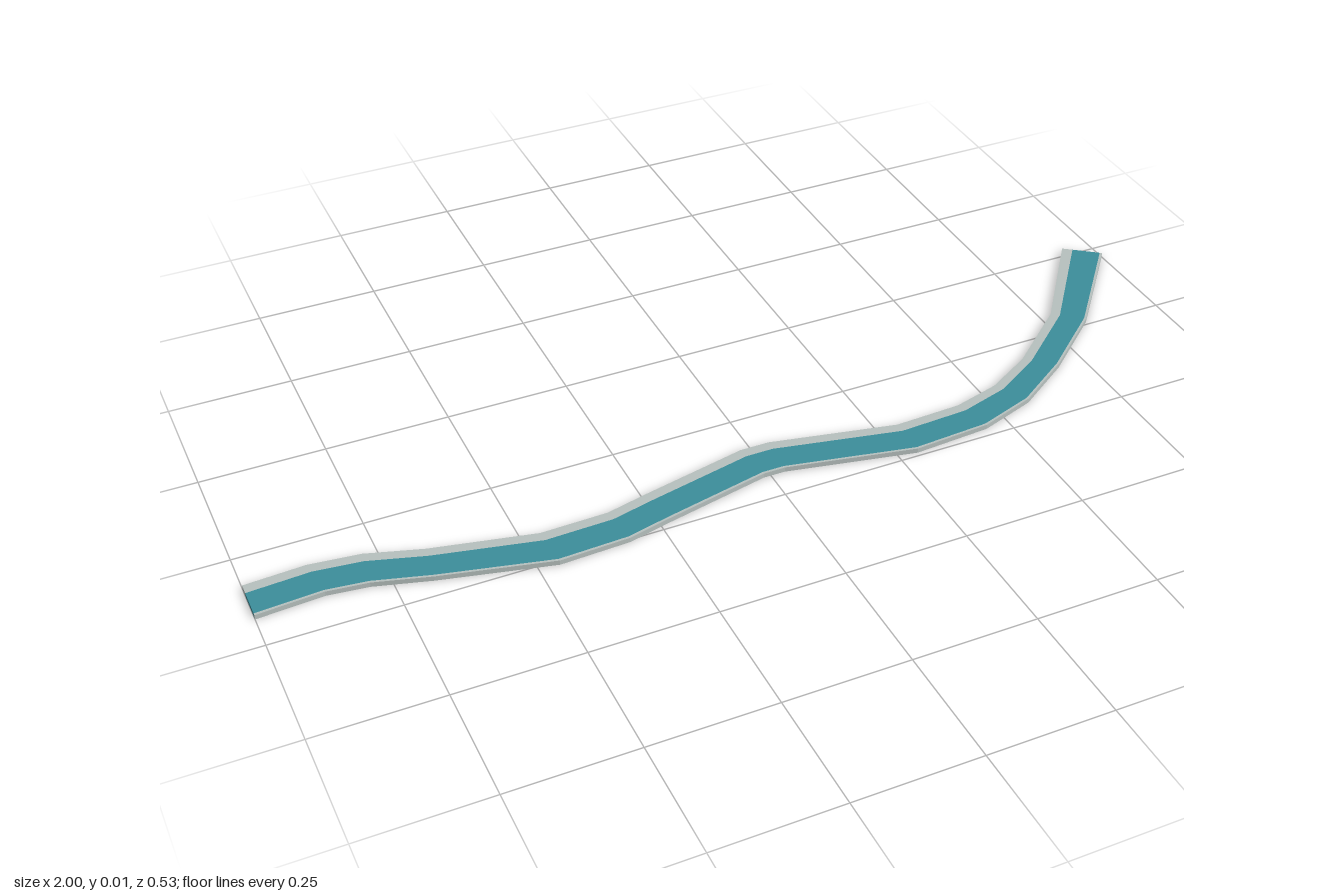
import * as THREE from 'three';

const HEIGHT = 0.01;

// Matching stations along the river: back bank x, z and front bank x, z
const stations = [
  [-1, 0.09, -1, 0.177], [-0.88, 0.083, -0.87, 0.168], [-0.78, 0.095, -0.79, 0.178],
  [-0.67, 0.13, -0.68, 0.21], [-0.465, 0.175, -0.46, 0.263], [-0.33, 0.172, -0.32, 0.257],
  [-0.24, 0.15, -0.23, 0.235], [-0.025, 0.102, -0.015, 0.187], [0.035, 0.102, 0.03, 0.187],
  [0.29, 0.156, 0.29, 0.241], [0.43, 0.15, 0.45, 0.23], [0.53, 0.122, 0.57, 0.189],
  [0.63, 0.065, 0.69, 0.11], [0.77, -0.053, 0.83, -0.008], [0.93, -0.265, 1, -0.212],
];

// Flat strip between two fractions of the river's width (0 = back, 1 = front)
function strip(name, from, to, material) {
  const edge = (t) => stations.map(([bx, bz, fx, fz]) =>
    new THREE.Vector2(bx + (fx - bx) * t, -(bz + (fz - bz) * t)));
  const shape = new THREE.Shape([...edge(to), ...edge(from).reverse()]);
  const geometry = new THREE.ExtrudeGeometry(shape, { depth: HEIGHT, bevelEnabled: false });
  geometry.rotateX(-Math.PI / 2);
  const mesh = new THREE.Mesh(geometry, material);
  mesh.name = name;
  return mesh;
}

export function createModel() {
  const water = new THREE.MeshStandardMaterial({ color: 0x3d8f9c });
  water.name = 'water teal';
  const stone = new THREE.MeshStandardMaterial({ color: 0xb8c2c0 });
  stone.name = 'bank grey';

  const river = new THREE.Group();
  river.name = 'river';
  river.add(
    strip('backBank', 0, 0.26, stone),
    strip('water', 0.26, 0.94, water),
    strip('frontBank', 0.94, 1, stone),
  );
  return river;
}
